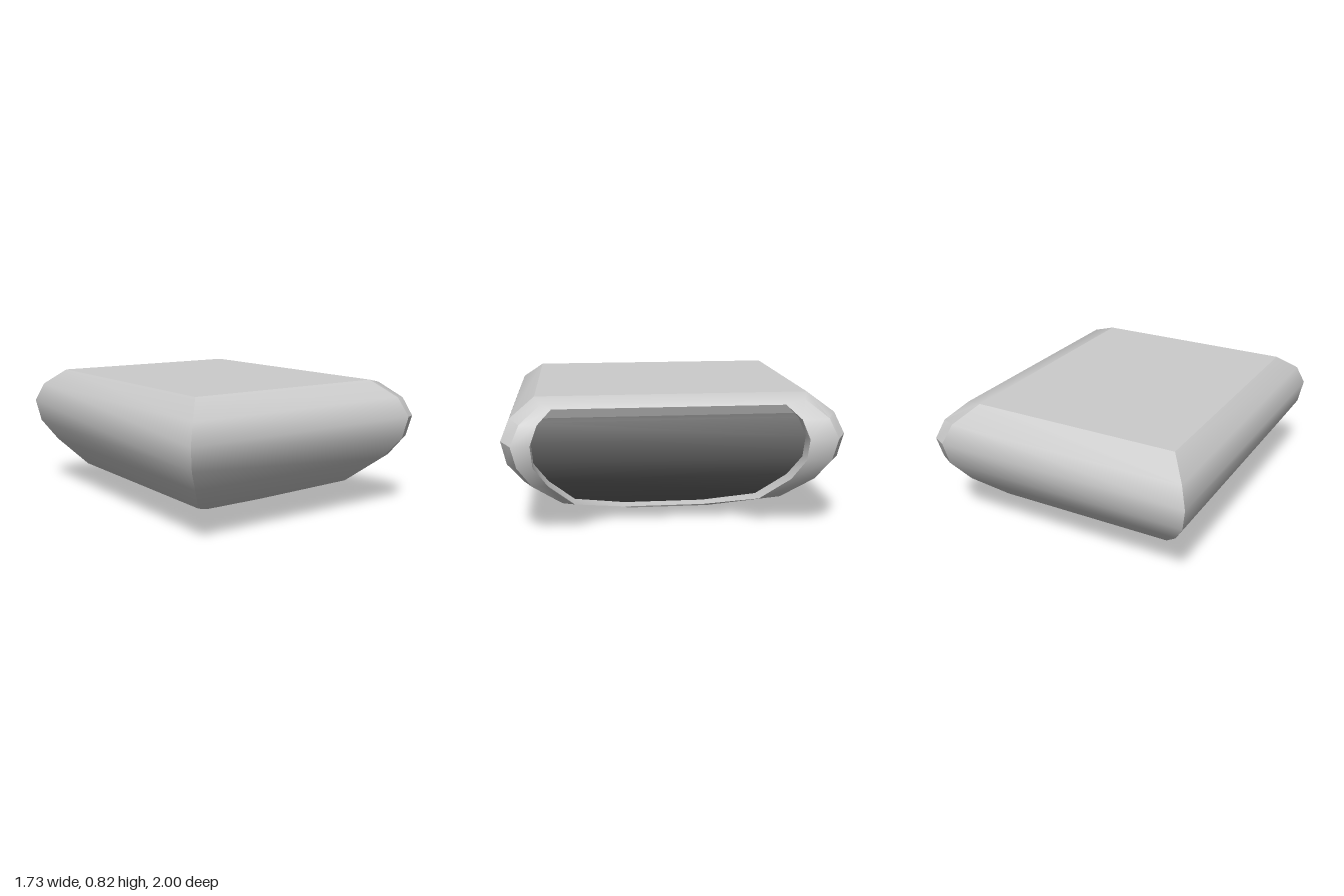
import * as THREE from 'three';
import { toCreasedNormals } from 'three/addons/utils/BufferGeometryUtils.js';

// Surface through rows of points; front = row direction x column direction
function grid(rows) {
  const cols = rows[0].length, index = [];
  for (let i = 0; i < rows.length - 1; i++)
    for (let j = 0; j < cols - 1; j++) {
      const a = i * cols + j, b = a + cols;
      index.push(a, b, b + 1, a, b + 1, a + 1);
    }
  const geometry = new THREE.BufferGeometry();
  geometry.setAttribute('position', new THREE.Float32BufferAttribute(rows.flat(2), 3));
  geometry.setIndex(index);
  geometry.computeVertexNormals();
  return geometry;
}

// Body levels, top to bottom: y, left-hand x, open-end x, half depth
const BODY = [
  [0.825, -0.71, 0.60, 0.81], [0.72, -0.82, 0.71, 0.95], [0.60, -0.865, 0.76, 1.00],
  [0.46, -0.84, 0.74, 0.97], [0.33, -0.76, 0.66, 0.88], [0.165, -0.62, 0.52, 0.70],
  [0, -0.27, 0.16, 0.27],
];

// Rim rings, top to bottom: x, y, front z, back z
const OUTER = BODY.map(([y, , x, z]) => [x, y, z, -z]);
const CREST = [
  [0.72, 0.80, 0.77, -0.77], [0.82, 0.705, 0.89, -0.89], [0.86, 0.59, 0.94, -0.94],
  [0.84, 0.46, 0.91, -0.91], [0.77, 0.33, 0.83, -0.83], [0.63, 0.18, 0.66, -0.66],
  [0.305, 0.03, 0.26, -0.26],
];
const LIP = [
  [0.745, 0.775, 0.71, -0.65], [0.82, 0.70, 0.79, -0.73], [0.86, 0.59, 0.83, -0.77],
  [0.84, 0.46, 0.82, -0.76], [0.77, 0.33, 0.74, -0.69], [0.63, 0.17, 0.59, -0.53],
  [0.31, 0.04, 0.27, -0.24],
];
const RECESS = [
  [0.72, 0.72, 0.775, -0.716], [0.727, 0.695, 0.79, -0.73], [0.76, 0.59, 0.83, -0.77],
  [0.74, 0.46, 0.82, -0.76], [0.66, 0.33, 0.74, -0.69], [0.52, 0.17, 0.59, -0.53],
  [0.22, 0.04, 0.27, -0.24],
];

// Closed loop: up the front side, across the top, down the back side
function ring(levels) {
  const front = levels.map(([x, y, z]) => [x, y, z]).reverse();
  const back = levels.map(([x, y, , z]) => [x, y, z]);
  return [...front, ...back, front[0]];
}

export function createModel() {
  const group = new THREE.Group();
  const shell = new THREE.MeshStandardMaterial({ color: 0xcccccc, side: THREE.DoubleSide });
  const dark = new THREE.MeshStandardMaterial({ color: 0x666666, side: THREE.DoubleSide });
  const add = (name, geometry, material = shell) => {
    const mesh = new THREE.Mesh(geometry, material);
    mesh.name = name;
    group.add(mesh);
  };

  // Curved sides, each smooth in itself with sharp corner seams
  add('frontSide', grid(BODY.map(([y, l, r, z]) => [[l, y, z], [r, y, z]])));
  add('backSide', grid(BODY.map(([y, l, r, z]) => [[r, y, -z], [l, y, -z]])));
  add('closedEnd', grid(BODY.map(([y, l, , z]) => [[l, y, -z], [l, y, z]])));

  // Flat top and base
  const flat = ([y, l, r, z], s) => grid([[[l, y, -s * z], [r, y, -s * z]], [[l, y, s * z], [r, y, s * z]]]);
  add('topPanel', flat(BODY[0], 1));
  add('basePanel', flat(BODY[6], -1));

  // Raised frame around the recessed end
  const rim = grid([OUTER, CREST, LIP, RECESS].map(ring));
  add('endRim', toCreasedNormals(rim, 0.6));

  // Curved panel set behind the frame
  add('recessedPanel', grid(RECESS.map(([x, y, f, b]) => [[x, y, f], [x, y, b]])), dark);

  return group;
}
